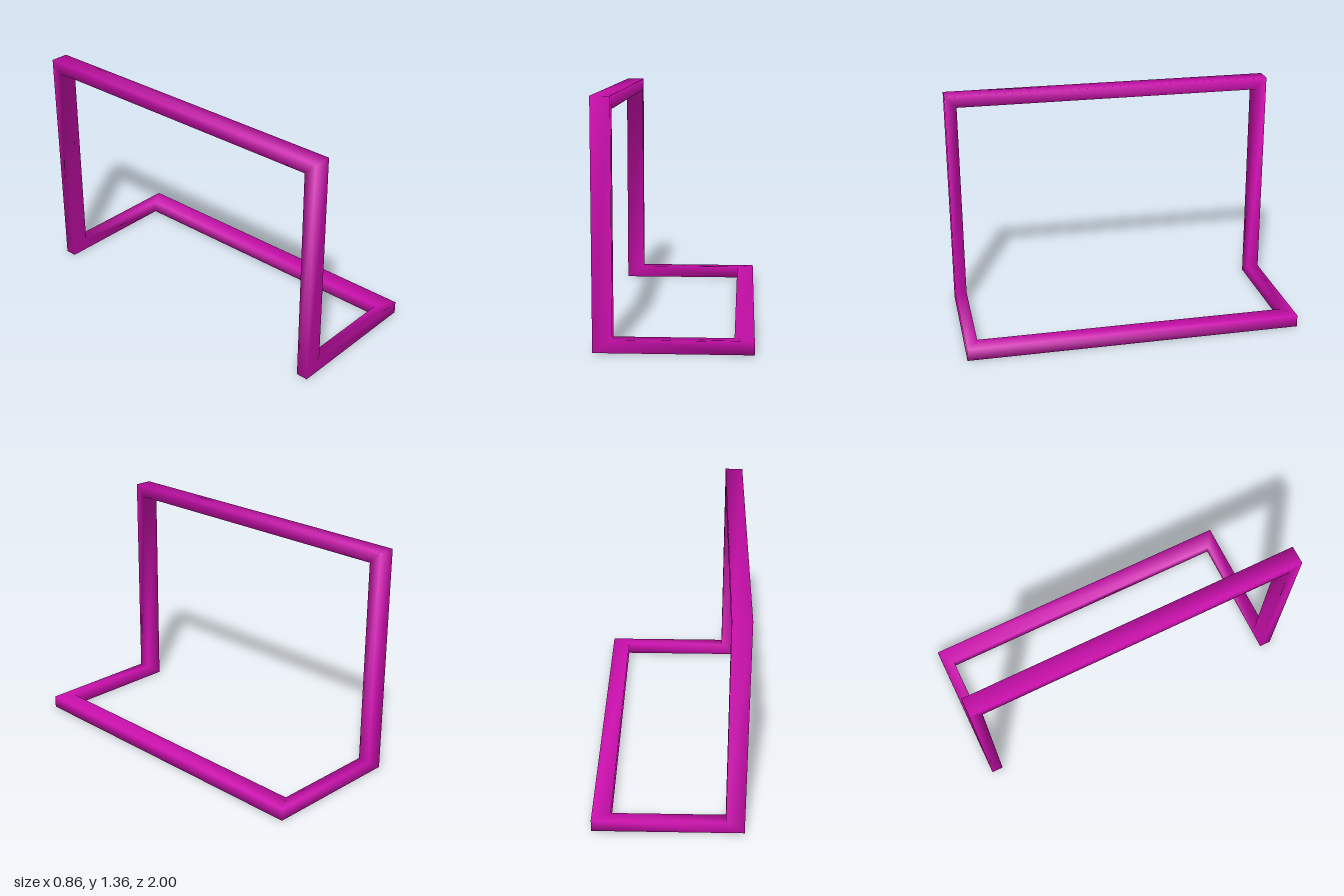
import * as THREE from 'three';

// Four-cornered section at each bend: [x, y] of the outer and inner edges,
// each given on the outside and on the inside of the ring.
const BENDS = [
  [[-0.43, 1.36], [-0.43, 1.288], [-0.323, 1.288], [-0.323, 1.36]], // top of the post
  [[-0.43, 0], [-0.43, 0], [-0.323, 0.073], [-0.323, 0.073]],       // foot of the post
  [[0.43, 0], [0.323, 0], [0.323, 0.073], [0.43, 0.073]],           // end of the base
];
const Z = [1, 0.93, 0.93, 1];

// Closed bar running through mitred bends, with shared vertices for smooth normals
function frameGeometry() {
  const rings = [
    ...BENDS.map((bend) => ({ bend, side: 1 })),
    ...[...BENDS].reverse().map((bend) => ({ bend, side: -1 })),
  ];
  const positions = [];
  const indices = [];
  rings.forEach(({ bend, side }, i) => {
    bend.forEach(([x, y], k) => positions.push(x, y, side * Z[k]));
    const next = (i + 1) % rings.length;
    for (let k = 0; k < 4; k++) {
      const m = (k + 1) % 4;
      const a = i * 4 + k, b = i * 4 + m, c = next * 4 + m, d = next * 4 + k;
      indices.push(a, b, c, a, c, d);
    }
  });
  const geometry = new THREE.BufferGeometry();
  geometry.setAttribute('position', new THREE.Float32BufferAttribute(positions, 3));
  geometry.setIndex(indices);
  geometry.computeVertexNormals();
  return geometry;
}

export function createModel() {
  const group = new THREE.Group();
  group.name = 'bentFrame';
  const frame = new THREE.Mesh(
    frameGeometry(),
    new THREE.MeshStandardMaterial({ color: 0xcc0fae })
  );
  frame.name = 'frame';
  group.add(frame);
  return group;
}
